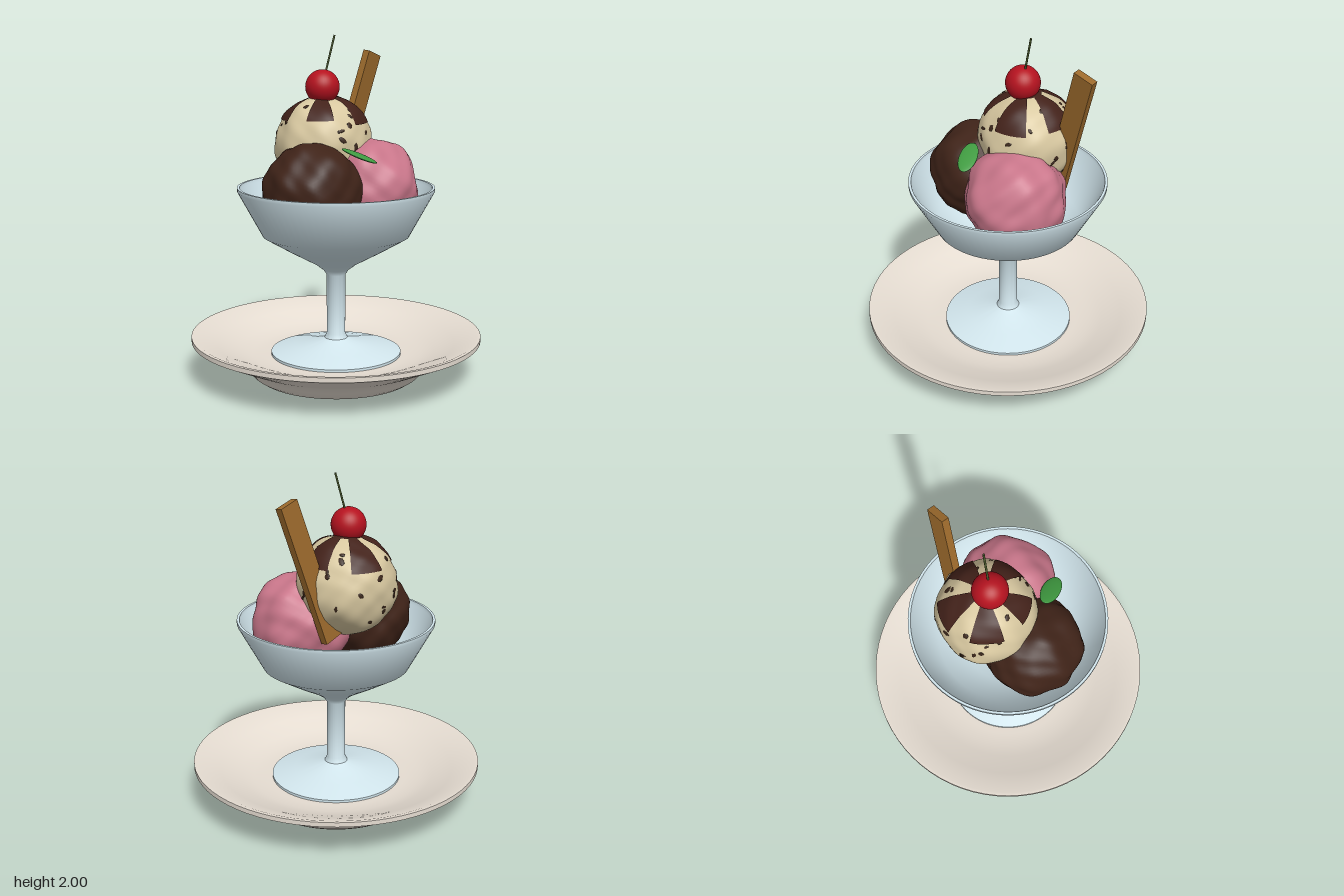
import * as THREE from 'three';
import { mergeVertices, toCreasedNormals } from 'three/addons/utils/BufferGeometryUtils.js';

const mat = (color, side = THREE.FrontSide) => new THREE.MeshStandardMaterial({ color, side });

function add(parent, name, geometry, material, pos = [0, 0, 0]) {
  const mesh = new THREE.Mesh(geometry, material);
  mesh.name = name;
  mesh.position.set(...pos);
  parent.add(mesh);
  return mesh;
}

function lathe(points) {
  const geo = new THREE.LatheGeometry(points.map(([r, y]) => new THREE.Vector2(r, y)), 72);
  return toCreasedNormals(geo, 0.7);
}

// Soft lumps as a function of direction
const lump = (d, s) =>
  0.007 * Math.sin(5 * d.x + s) * Math.cos(6 * d.y + 2 * s) +
  0.005 * Math.sin(9 * d.z + 3 * d.x + s) +
  0.004 * Math.sin(13 * d.y + 7 * d.z - s) * Math.cos(11 * d.x);

// Push every vertex to a lumpy radius and rebuild smooth normals
function lumpy(source, radius, seed, amount) {
  source.deleteAttribute('normal');
  source.deleteAttribute('uv');
  const geo = mergeVertices(source, 1e-4);
  const p = geo.attributes.position;
  const v = new THREE.Vector3();
  for (let i = 0; i < p.count; i++) {
    v.fromBufferAttribute(p, i).normalize();
    v.multiplyScalar(radius + amount * lump(v, seed));
    p.setXYZ(i, v.x, v.y, v.z);
  }
  geo.computeVertexNormals();
  return geo;
}

const scoop = (radius, seed, amount) =>
  lumpy(new THREE.IcosahedronGeometry(1, 16), radius, seed, amount);

export function createModel() {
  const model = new THREE.Group();
  model.name = 'iceCreamSundae';

  // Plate with a stepped base and a shallow well
  add(model, 'plate', lathe([
    [0, 0], [0.47, 0], [0.5, 0.02], [0.525, 0.05], [0.56, 0.09], [0.6, 0.108],
    [0.855, 0.228], [0.855, 0.255], [0.835, 0.255],
    [0.7, 0.2], [0.58, 0.155], [0.5, 0.132], [0.42, 0.125], [0, 0.125],
  ]), mat(0xe6ddd2));

  // Footed glass dish
  add(model, 'dish', lathe([
    [0, 0.127], [0.385, 0.127], [0.385, 0.142], [0.25, 0.175], [0.1, 0.208],
    [0.068, 0.222], [0.055, 0.25], [0.055, 0.605], [0.075, 0.635], [0.125, 0.672],
    [0.28, 0.757], [0.43, 0.845], [0.575, 1.11], [0.575, 1.13], [0.56, 1.13],
    [0.555, 1.11], [0.415, 0.865], [0.27, 0.78], [0.12, 0.715], [0, 0.705],
  ]), mat(0xd2e6ed));

  // Lower scoops
  add(model, 'chocolateScoop', scoop(0.284, 1.3, 1.2), mat(0x3f2318), [-0.2, 1.122, 0.075]);
  add(model, 'strawberryScoop', scoop(0.288, 4.1, 1.2), mat(0xc9768a), [0.19, 1.118, 0.06]);

  // Top scoop with sauce and chips
  const top = new THREE.Group();
  top.name = 'vanillaScoopWithSauce';
  top.position.set(-0.005, 1.365, -0.13);
  model.add(top);
  const seed = 2.2, lumps = 0.7, R = 0.284;
  add(top, 'vanillaScoop', scoop(R, seed, lumps), mat(0xd8c8a0));

  const sauce = mat(0x43221a, THREE.DoubleSide);
  add(top, 'sauceCap', lumpy(
    new THREE.SphereGeometry(1, 40, 8, 0, Math.PI * 2, 0, 0.27), R + 0.006, seed, lumps), sauce);
  for (let k = 0; k < 5; k++) {
    const mid = -Math.PI / 2 + k * Math.PI * 2 / 5;
    const half = 0.36 + 0.03 * Math.sin(k * 2.3);
    const reach = 1.05 + 0.06 * Math.cos(k * 1.9);
    add(top, 'sauceDrip', lumpy(
      new THREE.SphereGeometry(1, 12, 14, mid - half, half * 2, 0.2, reach - 0.2),
      R + 0.006, seed, lumps), sauce);
  }

  const chipGeo = new THREE.SphereGeometry(1, 10, 6);
  const chipMat = mat(0x3a261a);
  const chips = 44;
  const dir = new THREE.Vector3();
  for (let i = 0; i < chips; i++) {
    const y = 0.85 - 1.5 * (i + 0.5) / chips;
    const a = i * 2.39996 + 0.5 * Math.sin(i * 7.1);
    const r = Math.sqrt(1 - y * y);
    dir.set(r * Math.cos(a), y, r * Math.sin(a));
    const chip = add(top, 'chocolateChip', chipGeo, chipMat);
    chip.position.copy(dir).multiplyScalar(R + lumps * lump(dir, seed) - 0.001);
    chip.quaternion.setFromUnitVectors(new THREE.Vector3(0, 0, 1), dir);
    chip.rotateZ(i * 1.7);
    chip.scale.set(0.013 + 0.004 * Math.sin(i * 3), 0.021 + 0.006 * Math.cos(i * 5), 0.004);
  }

  // Cherry and its stem
  add(model, 'cherry', new THREE.SphereGeometry(0.1, 40, 28), mat(0xb5121f), [-0.025, 1.703, -0.11]);
  const stemPath = new THREE.LineCurve3(
    new THREE.Vector3(-0.005, 1.78, -0.11), new THREE.Vector3(0.057, 1.998, -0.11));
  add(model, 'cherryStem', new THREE.TubeGeometry(stemPath, 1, 0.006, 8),
    mat(0x4a5a2c, THREE.DoubleSide));

  // Wafer leaning outwards
  const wafer = add(model, 'wafer', new THREE.BoxGeometry(0.125, 0.83, 0.044),
    mat(0x9c6a2c), [0.273, 1.49, -0.24]);
  wafer.rotation.set(0, 0.37, -0.32, 'ZYX');

  // Mint leaf
  const leaf = add(model, 'mintLeaf', new THREE.SphereGeometry(1, 28, 16),
    mat(0x3f9a40), [-0.002, 1.337, 0.255]);
  leaf.scale.set(0.053, 0.012, 0.108);
  leaf.rotation.set(0.36, 0.79, 0, 'YXZ');

  return model;
}
